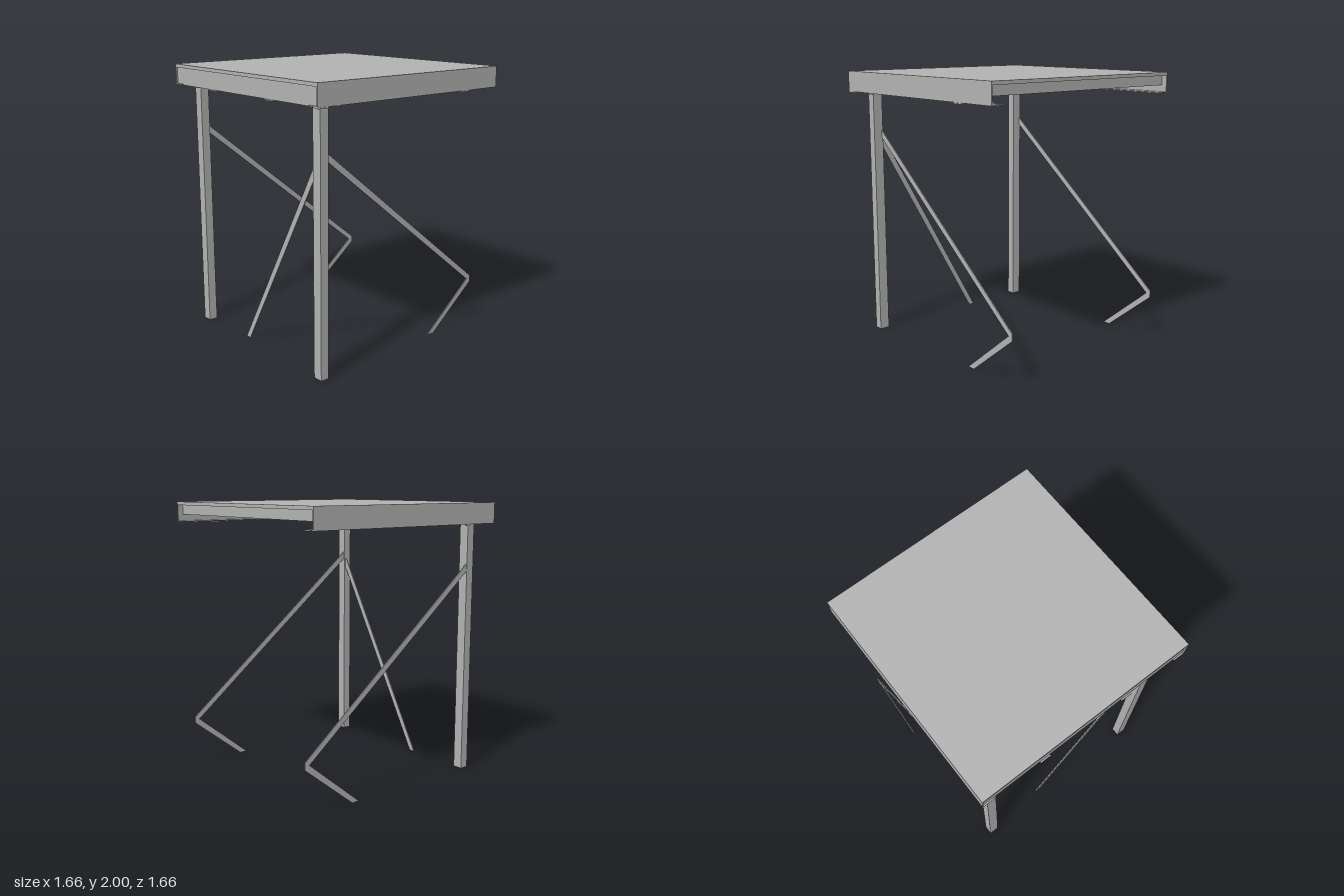
import * as THREE from 'three';

const steel = new THREE.MeshStandardMaterial({ color: 0xb3b3b3 });
steel.name = 'grey steel';

// Box given by its minimum and maximum on each axis
function box(parent, name, [x0, x1], [y0, y1], [z0, z1]) {
  const mesh = new THREE.Mesh(new THREE.BoxGeometry(x1 - x0, y1 - y0, z1 - z0), steel);
  mesh.position.set((x0 + x1) / 2, (y0 + y1) / 2, (z0 + z1) / 2);
  mesh.name = name;
  parent.add(mesh);
  return mesh;
}

// Flat bar cut from an outline
function flat(parent, name, points, depth) {
  const shape = new THREE.Shape(points.map(([x, y]) => new THREE.Vector2(x, y)));
  const mesh = new THREE.Mesh(new THREE.ExtrudeGeometry(shape, { depth, bevelEnabled: false }), steel);
  mesh.name = name;
  parent.add(mesh);
  return mesh;
}

// Hollow rectangular post standing on the ground
function post(parent, name, x, z, w, d, h, wall) {
  const rect = (P, a, b) => new P([[-a, -b], [a, -b], [a, b], [-a, b]].map(([u, v]) => new THREE.Vector2(u, v)));
  const shape = rect(THREE.Shape, w / 2, d / 2);
  shape.holes.push(rect(THREE.Path, w / 2 - wall, d / 2 - wall));
  const geo = new THREE.ExtrudeGeometry(shape, { depth: h, bevelEnabled: false });
  geo.rotateX(-Math.PI / 2);
  const mesh = new THREE.Mesh(geo, steel);
  mesh.position.set(x, 0, z);
  mesh.name = name;
  parent.add(mesh);
}

export function createModel() {
  const model = new THREE.Group();
  model.name = 'platform';

  // Top: thin deck over an inset lip
  const top = new THREE.Group();
  top.name = 'top';
  model.add(top);
  box(top, 'deck', [-0.83, 0.83], [1.975, 2], [-0.825, 0.83]);

  // Front and back edge channels, open inwards
  for (const s of [1, -1]) {
    const span = (a, b) => (s > 0 ? [a, b] : [-b + 0.005, -a + 0.005]);
    const side = s > 0 ? 'front' : 'back';
    box(top, side + 'EdgeWeb', [-0.83, 0.83], [1.85, 1.975], span(0.82, 0.83));
    box(top, side + 'EdgeFlange', [-0.83, 0.83], [1.85, 1.858], span(0.74, 0.83));
  }

  // Closed end channel over the legs
  box(top, 'legEndWeb', [-0.82, -0.81], [1.85, 1.975], [-0.82, 0.82]);
  box(top, 'legEndFlange', [-0.82, -0.74], [1.85, 1.858], [-0.735, 0.74]);

  // Cross beams under the deck
  for (const x of [0.785, 0]) {
    box(top, 'crossBeamWeb', [x - 0.005, x + 0.005], [1.905, 1.975], [-0.815, 0.82]);
    box(top, 'crossBeamFlange', [x - 0.07, x], [1.905, 1.911], [-0.815, 0.82]);
  }

  // Small clips on the lower flanges
  box(top, 'frontClip', [0.46, 0.54], [1.842, 1.85], [0.79, 0.835]);
  box(top, 'cornerClip', [-0.83, -0.74], [1.842, 1.85], [0.79, 0.835]);
  for (const z of [0.335, -0.33]) box(top, 'endClip', [-0.83, -0.79], [1.842, 1.85], [z - 0.04, z + 0.04]);

  // Legs with caps, corner straps and braces
  for (const s of [1, -1]) {
    const leg = new THREE.Group();
    leg.name = s > 0 ? 'frontLeg' : 'backLeg';
    model.add(leg);
    const z = 0.69 * s;
    post(leg, 'post', -0.6925, z, 0.065, 0.074, 1.85, 0.006);
    box(leg, 'capPlate', [-0.75, -0.65], [1.85, 1.86], [z - 0.06, z + 0.06]);
    box(leg, 'capBlock', [-0.735, -0.65], [1.86, 1.905], [z - 0.045, z + 0.045]);

    const strap = box(leg, 'cornerStrap', [-0.11, 0.11], [1.834, 1.843], [-0.015, 0.015]);
    strap.position.set(-0.685, 1.84, s * 0.70);
    strap.rotation.y = -s * Math.PI / 4;

    // Long brace and its return, mitred at the elbow
    const zBrace = s > 0 ? 0.656 : -0.726;
    flat(leg, 'longBrace', [[-0.66, 1.505], [0.83, 0.32], [0.83, 0.37], [-0.66, 1.56]], 0.008).position.z = zBrace;
    flat(leg, 'returnBrace', [[0.37, 0], [0.43, 0], [0.83, 0.32], [0.795, 0.348]], 0.008).position.z = zBrace;
  }

  // Side brace leaning from the front leg towards the back
  const sideBrace = flat(model, 'sideBrace', [[-0.21, 0], [-0.165, 0], [0.66, 1.45], [0.66, 1.535]], 0.008);
  sideBrace.rotation.y = -Math.PI / 2;
  sideBrace.position.x = -0.67;

  return model;
}
